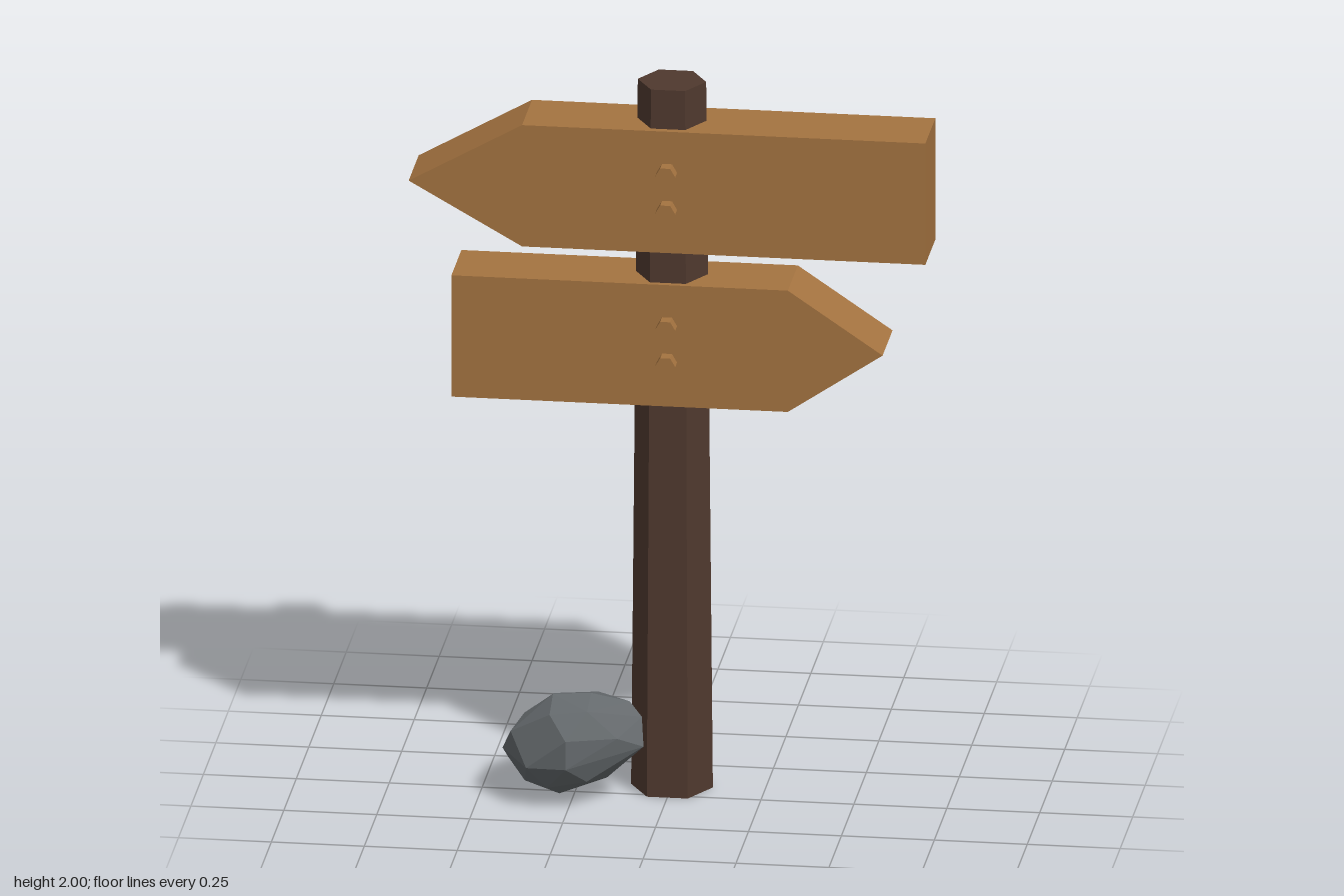
import * as THREE from 'three';
import { ConvexGeometry } from 'three/addons/geometries/ConvexGeometry.js';

function material(name, color) {
  const m = new THREE.MeshStandardMaterial({ color });
  m.name = name;
  return m;
}

// Hexagonal prism with corners on the x axis
function hexPrism(topRadius, bottomRadius, height) {
  return new THREE.CylinderGeometry(topRadius, bottomRadius, height, 6)
    .rotateY(Math.PI / 6).toNonIndexed();
}

export function createModel() {
  const group = new THREE.Group();
  const darkWood = material('darkWood', 0x4f392e);
  const plankWood = material('plankWood', 0xa47340);
  const stone = material('stone', 0x64696c);
  const POST_Z = -0.08;

  const add = (name, geometry, mat, x = 0, y = 0, z = 0) => {
    geometry.computeVertexNormals();
    const mesh = new THREE.Mesh(geometry, mat);
    mesh.name = name;
    mesh.position.set(x, y, z);
    group.add(mesh);
  };

  // Tapered post
  add('post', hexPrism(0.092, 0.11, 2), darkWood, 0, 1, POST_Z);

  // Arrow boards, each with two pegs; dir is the way the arrow points
  const boards = [
    { name: 'upper', dir: -1, half: 0.695, shoulder: 0.39, y: 1.718, pegs: [1.775, 1.67] },
    { name: 'lower', dir: 1, half: 0.58, shoulder: 0.325, y: 1.283, pegs: [1.34, 1.237] },
  ];
  for (const { name, dir, half, shoulder, y, pegs } of boards) {
    const h = 0.172;
    const shape = new THREE.Shape([
      [-half, -h], [shoulder, -h], [half, 0], [shoulder, h], [-half, h],
    ].map(([px, py]) => new THREE.Vector2(px * dir, py)));
    const board = new THREE.ExtrudeGeometry(shape, { depth: 0.2, bevelEnabled: false });
    add(`${name}Board`, board, plankWood, 0, y, -0.18);

    pegs.forEach((py, i) => {
      const peg = hexPrism(0.027, 0.027, 0.06).rotateX(Math.PI / 2);
      add(`${name}Peg${i + 1}`, peg, plankWood, 0, py, 0.027);
    });
  }

  // Faceted rock beside the post
  const rockPoints = [
    // middle outline
    [-0.44, 0.13, 0.04], [-0.38, 0.235, 0.05], [-0.3, 0.3, 0.07], [-0.2, 0.3, 0.05],
    [-0.1, 0.27, 0.02], [-0.065, 0.235, 0.04], [-0.055, 0.165, 0.08], [-0.16, 0.055, 0.03],
    [-0.29, 0, 0.02], [-0.38, 0.04, 0.04], [-0.43, 0.09, 0],
    // front
    [-0.41, 0.2, 0.1], [-0.25, 0.21, 0.195], [-0.36, 0.12, 0.165], [-0.25, 0.13, 0.195],
    [-0.31, 0.05, 0.12], [-0.2, 0.08, 0.14], [-0.12, 0.2, 0.125], [-0.2, 0.275, 0.13],
    [-0.3, 0.265, 0.14],
    // back
    [-0.33, 0.105, -0.195], [-0.365, 0.13, -0.18], [-0.3, 0.15, -0.18], [-0.32, 0.24, -0.1],
    [-0.2, 0.25, -0.1], [-0.42, 0.15, -0.08], [-0.15, 0.15, -0.12], [-0.3, 0.05, -0.12],
    [-0.2, 0.06, -0.1], [-0.4, 0.07, -0.1],
  ].map((p) => new THREE.Vector3(...p));
  add('rock', new ConvexGeometry(rockPoints), stone);

  return group;
}
